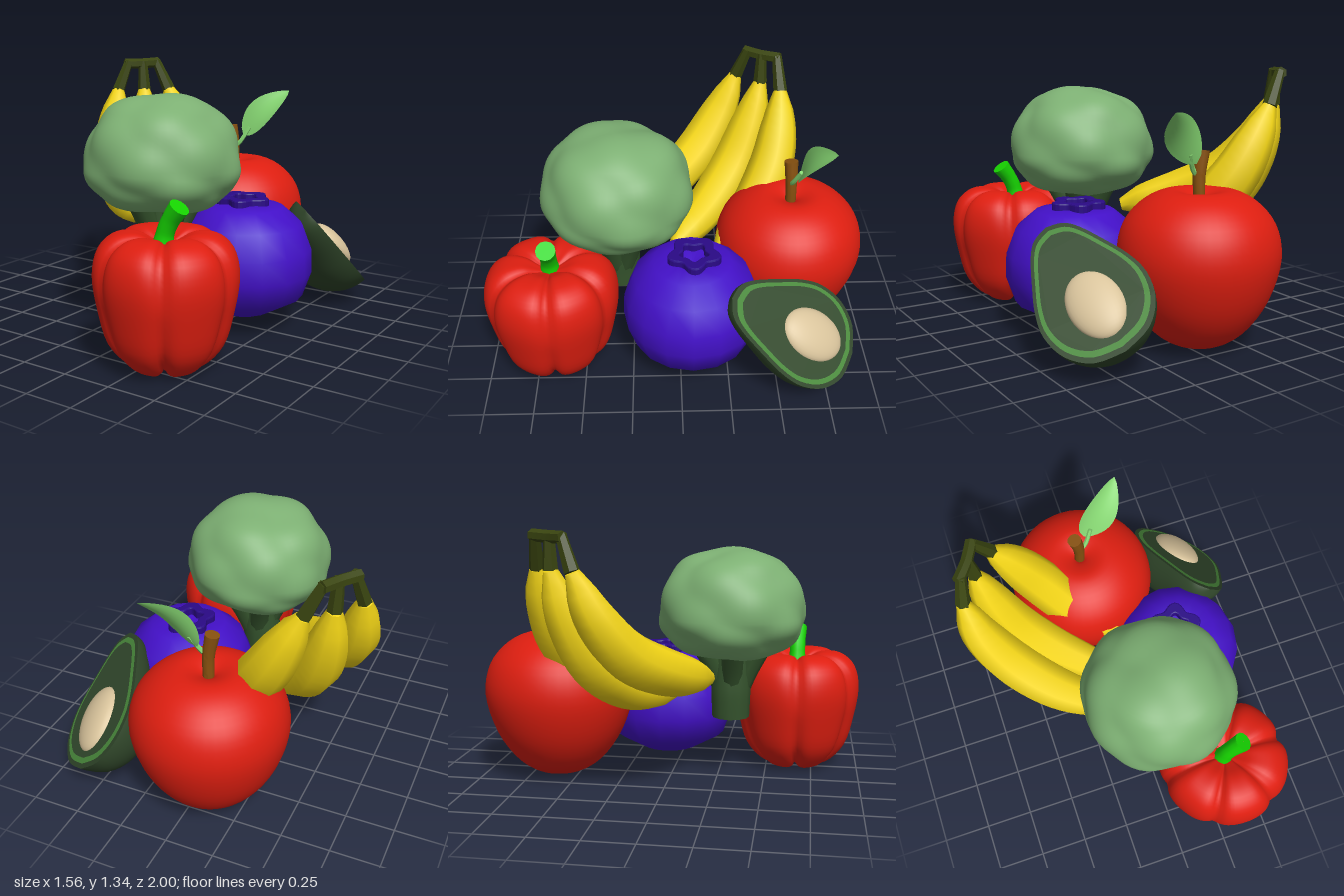
import * as THREE from 'three';
import { mergeVertices, toCreasedNormals } from 'three/addons/utils/BufferGeometryUtils.js';

const V = (x, y, z) => new THREE.Vector3(x, y, z);
const mat = (color, side = THREE.FrontSide) => new THREE.MeshStandardMaterial({ color, side });

function add(parent, name, geometry, material) {
  const mesh = new THREE.Mesh(geometry, material);
  mesh.name = name;
  parent.add(mesh);
  return mesh;
}

function addGroup(parent, name, x = 0, y = 0, z = 0) {
  const g = new THREE.Group();
  g.name = name;
  g.position.set(x, y, z);
  parent.add(g);
  return g;
}

// Smooth profile through a few [radius, height] points
const profile = (pts, n) => new THREE.SplineCurve(pts.map(p => new THREE.Vector2(...p)))
  .getPoints(n).map(p => p.set(Math.max(0, p.x), p.y));

// Move every vertex by a rule and weld the seams for smooth normals
function reshape(geometry, rule) {
  const pos = geometry.attributes.position, v = V(0, 0, 0);
  for (let i = 0; i < pos.count; i++) {
    rule(v.fromBufferAttribute(pos, i));
    pos.setXYZ(i, v.x, v.y, v.z);
  }
  geometry.deleteAttribute('uv');
  geometry.deleteAttribute('normal');
  const welded = mergeVertices(geometry, 1e-5);
  welded.computeVertexNormals();
  return welded;
}

// Round section swept along a path, radii spread evenly over its length, closed ends
function sweep(points, radii, sides = 10, steps = 16) {
  const curve = new THREE.CatmullRomCurve3(points.map(p => V(...p)));
  const { normals, binormals } = curve.computeFrenetFrames(steps);
  const pos = [], idx = [];
  for (let k = -1; k <= steps + 1; k++) {
    const i = THREE.MathUtils.clamp(k, 0, steps), f = i / steps * (radii.length - 1);
    const lo = Math.min(Math.floor(f), radii.length - 2);
    const r = k === i ? THREE.MathUtils.lerp(radii[lo], radii[lo + 1], f - lo) : 0.0005;
    const c = curve.getPointAt(i / steps);
    for (let j = 0; j < sides; j++) {
      const a = j / sides * Math.PI * 2;
      const p = c.clone().addScaledVector(normals[i], r * Math.cos(a)).addScaledVector(binormals[i], r * Math.sin(a));
      pos.push(p.x, p.y, p.z);
    }
  }
  for (let i = 0; i < steps + 2; i++) for (let j = 0; j < sides; j++) {
    const a = i * sides + j, b = i * sides + (j + 1) % sides;
    idx.push(a, b, a + sides, b, b + sides, a + sides);
  }
  const g = new THREE.BufferGeometry();
  g.setAttribute('position', new THREE.Float32BufferAttribute(pos, 3));
  g.setIndex(idx);
  return toCreasedNormals(g, 0.9);
}

function buildApple(parent) {
  const apple = addGroup(parent, 'apple', -0.06, 0, -0.6);
  const pts = [[0, 0.06], [0.1, 0.025], [0.23, 0.1], [0.34, 0.26], [0.395, 0.46], [0.365, 0.62], [0.27, 0.73], [0.15, 0.78], [0.05, 0.755], [0, 0.71]];
  add(apple, 'appleBody', new THREE.LatheGeometry(profile(pts, 36), 48), mat(0xdd1e10));
  add(apple, 'appleStem', sweep([[0, 0.7, 0], [0, 0.85, 0.005], [-0.02, 0.97, 0.01]], [0.028, 0.03, 0.037]), mat(0x87510f));
  const green = mat(0x86d672, THREE.DoubleSide);
  add(apple, 'leafStalk', sweep([[0, 0.84, 0.01], [0.04, 0.88, 0], [0.08, 0.96, -0.03]], [0.014, 0.012, 0.012], 6), green);
  // Cupped blade, pointed at both ends
  const blade = reshape(new THREE.PlaneGeometry(2, 1, 8, 16), p => {
    const t = p.y + 0.5, s = p.x, w = 0.088 * Math.pow(Math.sin(Math.PI * Math.pow(t, 0.8)), 0.75) || 0;
    p.set(s * w, t * 0.37, 0.025 * s * s * Math.sin(Math.PI * t) + 0.03 * Math.sin(Math.PI * t) - 0.02);
  });
  const leaf = add(apple, 'leaf', blade, green);
  const up = V(0.24, 0.28, -0.15).normalize(), across = V(0.42, -0.28, 0.15);
  across.addScaledVector(up, -across.dot(up)).normalize();
  leaf.quaternion.setFromRotationMatrix(new THREE.Matrix4().makeBasis(across, up, across.clone().cross(up)));
  leaf.position.set(0.04, 0.92, -0.01);
}

function buildBlueberry(parent) {
  const berry = addGroup(parent, 'blueberry', 0.32, 0, -0.06);
  const pts = [[0, 0.075], [0.15, 0.08], [0.31, 0.17], [0.355, 0.3], [0.35, 0.42], [0.3, 0.55], [0.2, 0.635], [0.1, 0.65], [0, 0.62]];
  add(berry, 'berryBody', new THREE.LatheGeometry(pts.map(p => new THREE.Vector2(...p)), 16), mat(0x4310c8));
  // Five-lobed crown around a hollow
  const lobed = (shape, r, amp) => shape.setFromPoints(Array.from({ length: 50 }, (_, i) => {
    const a = i / 50 * Math.PI * 2, k = r + amp * Math.cos(5 * a);
    return new THREE.Vector2(k * Math.cos(a), k * Math.sin(a));
  }));
  const crown = lobed(new THREE.Shape(), 0.115, 0.018);
  crown.holes.push(lobed(new THREE.Path(), 0.075, 0.01));
  const g = new THREE.ExtrudeGeometry(crown, { depth: 0.06, bevelSize: 0.008, bevelThickness: 0.008, bevelSegments: 2 });
  g.rotateX(-Math.PI / 2);
  add(berry, 'berryCrown', g, mat(0x2a0a86)).position.set(-0.01, 0.615, -0.01);
}

function buildAvocado(parent) {
  const avocado = addGroup(parent, 'avocadoHalf', 0.55, 0.33, -0.66);
  // Long axis points to the narrow end, z axis out of the cut face
  const long = V(0.06, 0.55, 0.83).normalize(), out = V(0.573, 0.664, -0.48);
  out.addScaledVector(long, -out.dot(long)).normalize();
  avocado.quaternion.setFromRotationMatrix(new THREE.Matrix4().makeBasis(long.clone().cross(out), long, out));
  const pts = profile([[0, -0.27], [0.14, -0.235], [0.235, -0.135], [0.27, 0], [0.25, 0.13], [0.195, 0.27], [0.135, 0.4], [0.08, 0.47], [0, 0.5]], 32);
  const skin = mat(0x2f4529);
  add(avocado, 'avocadoSkin', new THREE.LatheGeometry(pts, 28, Math.PI / 2, Math.PI), skin);
  const outline = [...pts, ...pts.slice(1, -1).reverse().map(p => new THREE.Vector2(-p.x, p.y))];
  const face = new THREE.ShapeGeometry(new THREE.Shape(outline));
  [['cutEdge', 1, skin], ['greenRing', 0.93, mat(0x4a8a3c)], ['flesh', 0.85, mat(0x334a2d)]].forEach(([name, s, m], i) => {
    const f = add(avocado, name, face, m);
    f.scale.set(s, s, 1);
    f.position.set(0, (1 - s) * 0.1, i * 0.004);
  });
  add(avocado, 'avocadoPit', new THREE.SphereGeometry(1, 32, 20), mat(0xd9c49c)).scale.set(0.13, 0.18, 0.06);
}

function buildBroccoli(parent) {
  const broccoli = addGroup(parent, 'broccoli', 0.065, 0, 0.315);
  // Florets: rounded bumps spread evenly over a dome
  const bumps = Array.from({ length: 24 }, (_, i) => {
    const y = 1 - (i + 0.5) / 12, a = i * 2.39996, r = Math.sqrt(1 - y * y);
    return V(r * Math.cos(a), y, r * Math.sin(a));
  });
  const head = reshape(new THREE.SphereGeometry(1, 64, 44), p => {
    const sum = bumps.reduce((s, b) => s + Math.exp(22 * (p.dot(b) - 1)), 0);
    const near = 1 + Math.log(sum) / 22;
    const r = 1.03 - 0.9 * (1 - near);
    const flat = p.y < 0 ? 0.235 : 0.35;
    const wide = 0.385 * Math.pow(Math.max(1e-6, 1 - p.y * p.y), -0.1);
    p.set(p.x * r * Math.min(wide, 0.43), p.y * r * flat, p.z * r * Math.min(wide, 0.43));
  });
  add(broccoli, 'broccoliHead', head, mat(0x7db073)).position.y = 0.88;
  const green = mat(0x34522c);
  add(broccoli, 'broccoliStem', sweep([[-0.02, 0.33, 0], [-0.02, 0.45, 0], [-0.01, 0.62, 0], [0, 0.75, 0]], [0.1, 0.105, 0.1, 0.09], 12), green);
  for (let i = 0; i < 5; i++) {
    const a = i / 5 * Math.PI * 2 + 0.5, c = Math.cos(a), s = Math.sin(a);
    add(broccoli, 'broccoliBranch', sweep([[c * 0.04, 0.45, s * 0.04], [c * 0.09, 0.58, s * 0.09], [c * 0.17, 0.74, s * 0.17]], [0.05, 0.055, 0.06], 8), green);
  }
}

function buildPepper(parent) {
  const pepper = addGroup(parent, 'bellPepper', 0.325, 0, 0.66);
  const pts = [[0, 0.06], [0.08, 0.01], [0.18, 0.025], [0.275, 0.13], [0.32, 0.29], [0.342, 0.45], [0.315, 0.57], [0.24, 0.635], [0.14, 0.645], [0.06, 0.61], [0, 0.58]];
  // Six lobes parted by narrow grooves
  const body = reshape(new THREE.LatheGeometry(profile(pts, 40), 96), p => {
    const a = Math.atan2(p.x, p.z), groove = Math.pow(1 - Math.abs(Math.sin(3 * a + 1.5)), 2.5);
    const r = Math.hypot(p.x, p.z), end = Math.min(1, Math.abs(p.y - 0.36) / 0.3);
    const k = 1 - groove * (0.07 + 0.08 * end) + 0.015 * Math.sin(2 * a);
    p.x *= k;
    p.z *= k;
    p.y -= Math.sign(p.y - 0.36) * groove * 0.035 * end * end * Math.min(1, r / 0.1);
  });
  add(pepper, 'pepperBody', body, mat(0xdd1e10));
  add(pepper, 'pepperStem', sweep([[-0.02, 0.56, 0], [0, 0.65, 0], [0.03, 0.71, 0], [0.075, 0.77, 0]], [0.055, 0.042, 0.043, 0.05], 12), mat(0x16d400));
}

function buildBananas(parent) {
  const bunch = addGroup(parent, 'bananaBunch');
  const yellow = mat(0xf2d416), dark = mat(0x3a4510);
  const radii = [0.036, 0.08, 0.105, 0.118, 0.124, 0.124, 0.12, 0.11, 0.09, 0.035];
  const fruits = [
    [[-0.68, 1.33, -0.4], [[-0.715, 1.16, -0.34], [-0.68, 0.95, -0.25], [-0.57, 0.76, -0.12], [-0.4, 0.65, 0.04], [-0.13, 0.57, 0.22]]],
    [[-0.63, 1.33, -0.47], [[-0.62, 1.16, -0.47], [-0.58, 0.95, -0.42], [-0.48, 0.71, -0.32], [-0.3, 0.55, -0.17], [-0.04, 0.47, 0.02]]],
    [[-0.59, 1.33, -0.55], [[-0.51, 1.16, -0.57], [-0.42, 0.98, -0.56], [-0.32, 0.8, -0.52], [-0.17, 0.6, -0.4], [0.06, 0.47, -0.21]]]
  ];
  for (const [top, path] of fruits) {
    add(bunch, 'banana', sweep(path, radii, 8, 20), yellow);
    add(bunch, 'bananaStem', sweep([top, path[0]], [0.026, 0.038], 6, 2), dark);
  }
  // Bar joining the three stems
  add(bunch, 'bunchCrown', sweep([[-0.7, 1.315, -0.385], [-0.635, 1.315, -0.47], [-0.585, 1.32, -0.565]], [0.03, 0.03, 0.03], 6, 4), dark);
}

export function createModel() {
  const model = new THREE.Group();
  model.name = 'fruitAndVegetables';
  [buildApple, buildBlueberry, buildAvocado, buildBroccoli, buildPepper, buildBananas].forEach(build => build(model));
  return model;
}
